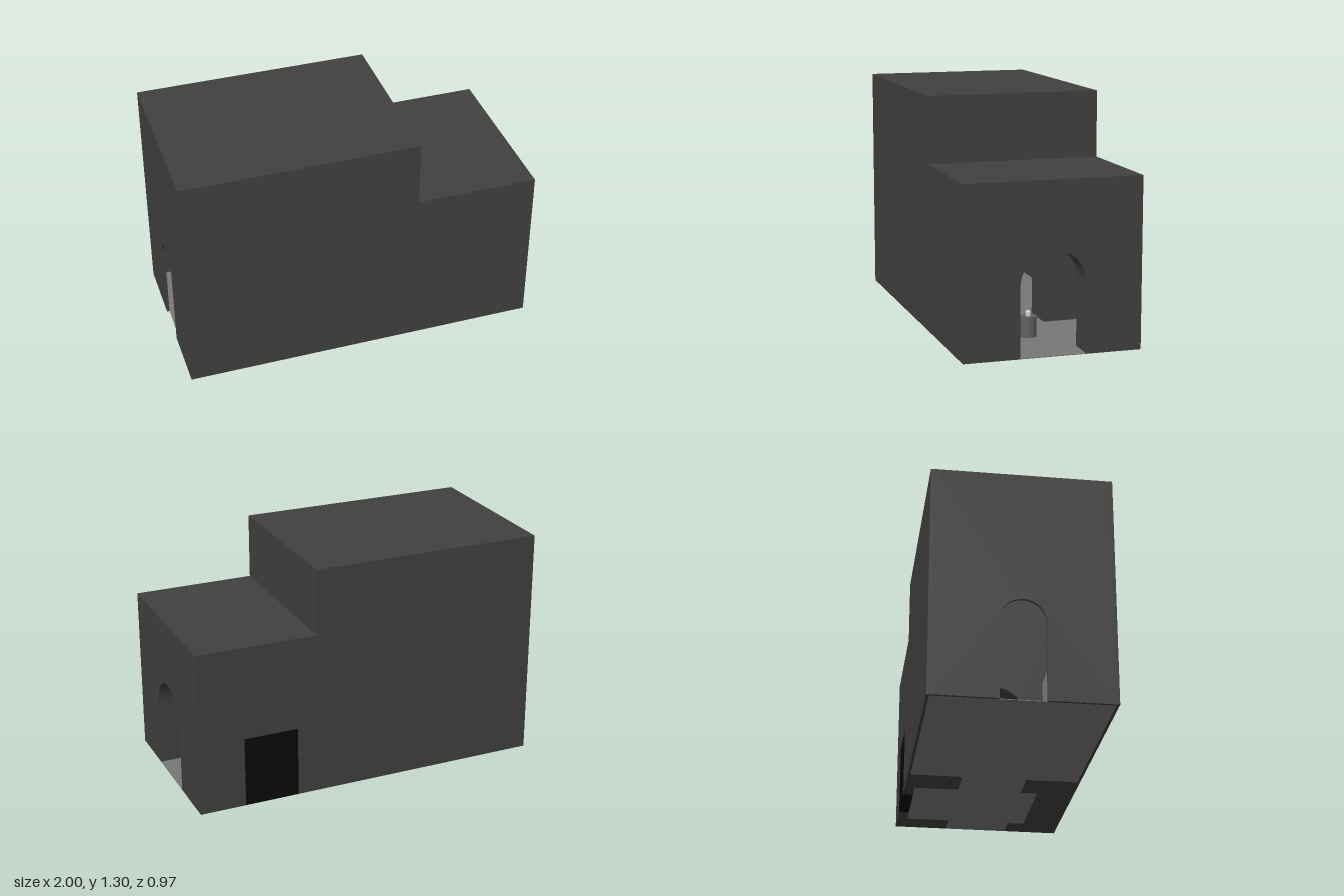
import * as THREE from 'three';

const mat = (color) => new THREE.MeshStandardMaterial({ color });
const D = 0.487;   // half depth of the building
const T = 0.015;   // thin shell thickness
const IN = D - T;  // inner half depth

export function createModel() {
  const group = new THREE.Group();
  const stone = mat(0x404040), paving = mat(0x777777), black = mat(0x0a0a0a);

  const add = (name, geometry, material) => {
    const mesh = new THREE.Mesh(geometry, material);
    mesh.name = name;
    group.add(mesh);
    return mesh;
  };

  // Box given by its limits on each axis
  const box = (name, [x0, x1], [y0, y1], [z0, z1], material = stone) => {
    const g = new THREE.BoxGeometry(x1 - x0, y1 - y0, z1 - z0);
    g.translate((x0 + x1) / 2, (y0 + y1) / 2, (z0 + z1) / 2);
    return add(name, g, material);
  };

  // Cross wall with a round-headed opening reaching the ground
  const archWall = (name, x0, x1, halfDepth, height, r, top = 0.56) => {
    const s = new THREE.Shape();
    s.moveTo(-halfDepth, 0);
    s.lineTo(-r, 0);
    s.lineTo(-r, top - r);
    s.absarc(0, top - r, r, Math.PI, 0, true);
    s.lineTo(r, 0);
    s.lineTo(halfDepth, 0);
    s.lineTo(halfDepth, height);
    s.lineTo(-halfDepth, height);
    s.closePath();
    const g = new THREE.ExtrudeGeometry(s, { depth: x1 - x0, bevelEnabled: false, curveSegments: 24 });
    g.rotateY(Math.PI / 2);
    g.translate(x0, 0, 0);
    return add(name, g, stone);
  };

  // Long wall cut from an outline in x and y
  const longWall = (name, points, z0, z1) => {
    const s = new THREE.Shape(points.map(([x, y]) => new THREE.Vector2(x, y)));
    const g = new THREE.ExtrudeGeometry(s, { depth: z1 - z0, bevelEnabled: false });
    g.translate(0, 0, z0);
    return add(name, g, stone);
  };

  const H = 1.3, LOW = 0.93, STEP = 0.317;
  const door = { x0: 0.43, x1: 0.74, h: 0.4 };
  const doorway = [[door.x0, 0], [door.x0, door.h], [door.x1, door.h], [door.x1, 0]];
  const stepped = [[1, 0], [1, LOW], [STEP, LOW], [STEP, H], [-1, H]];

  // Long outer walls with the stepped outline
  longWall('frontWall', [[-1, 0], ...stepped], IN, D);
  longWall('backWall', [[-1, 0], ...doorway, ...stepped], -D, -IN);

  // Cross walls: entrance, partition between the rooms, far end
  archWall('entranceWall', 0.85, 1, IN, LOW, 0.18);
  archWall('partitionWall', 0.11, STEP, IN, H, 0.18);
  archWall('endWall', -1, -1 + T, IN, H, 0.121);

  // Thicker side walls of the entrance hall
  box('hallFrontLining', [STEP, 0.85], [0, LOW], [0.275, IN]);
  longWall('hallBackLining',
    [[STEP, 0], ...doorway, [0.85, 0], [0.85, LOW], [STEP, LOW]], -IN, -0.43);

  // Roofs
  box('highRoof', [-1 + T, 0.11], [H - T, H], [-IN, IN]);
  box('lowRoof', [STEP, 0.85], [LOW - 0.08, LOW], [-0.43, 0.275]);

  // Floors of the rooms and the passages between them
  const F = 0.004;
  box('entranceFloor', [0.85, 1], [0, F], [-0.18, 0.18], paving);
  box('hallFloor', [STEP, 0.85], [0, F], [-0.43, 0.275], paving);
  box('passageFloor', [0.11, STEP], [0, F], [-0.18, 0.18], paving);
  box('mainFloor', [-1 + T, 0.11], [0, F], [-IN, IN], paving);

  // Double door
  const mid = (door.x0 + door.x1) / 2;
  for (const [name, x0, x1] of [['rightDoorLeaf', door.x0, mid], ['leftDoorLeaf', mid, door.x1]]) {
    box(name, [x0, x1], [0, door.h], [-D, -0.43], black);
  }

  // Square pillars in the front corners of the main room
  for (const x of [-0.89, 0.015]) {
    box('cornerPillar', [x - 0.09, x + 0.09], [F, 0.6], [0.28, IN], mat(0x888888));
  }

  // Round pedestal with a small domed light
  const pedestal = new THREE.CylinderGeometry(0.046, 0.046, 0.118 - F, 32);
  pedestal.translate(0.585, (0.118 + F) / 2, 0);
  add('pedestal', pedestal, mat(0x606060));
  const lamp = new THREE.CapsuleGeometry(0.016, 0.024, 8, 20);
  lamp.translate(0.585, 0.122, 0);
  add('pedestalLamp', lamp, mat(0xcccccc));

  return group;
}
